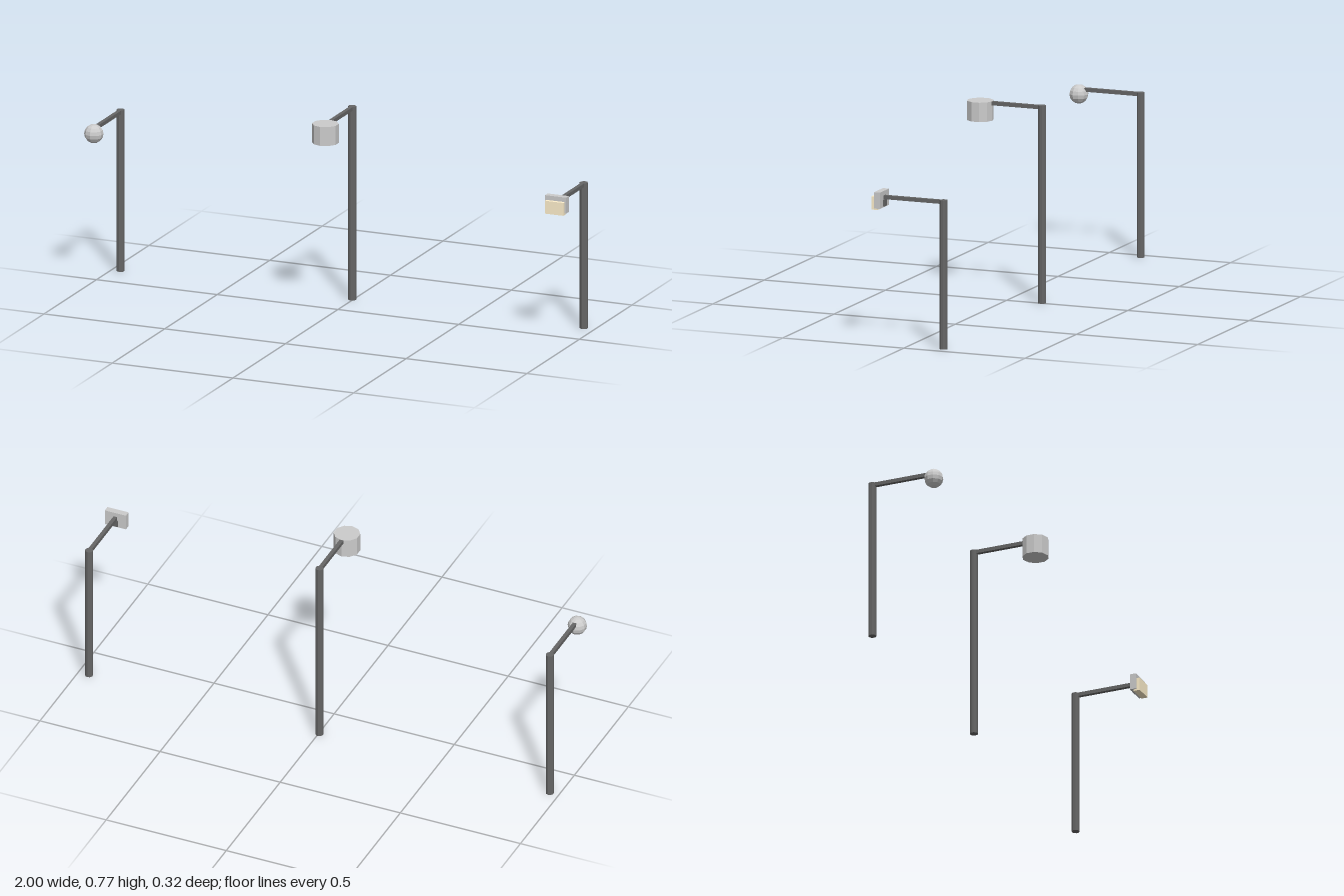
import * as THREE from 'three';

const grey = new THREE.MeshStandardMaterial({ color: 0xcccccc, flatShading: true });
const dark = new THREE.MeshStandardMaterial({ color: 0x666666, flatShading: true });
const cream = new THREE.MeshStandardMaterial({ color: 0xfff0cc, flatShading: true });

const POLE_Z = -0.145, HEAD_Z = 0.11;

function part(name, geometry, material, x, y, z) {
  const mesh = new THREE.Mesh(geometry, material);
  mesh.name = name;
  mesh.position.set(x, y, z);
  return mesh;
}

// Upright pole with a thin arm reaching forward, flush with the pole top
function lampPost(name, x, height, armEnd) {
  const post = new THREE.Group();
  post.name = name;
  post.position.x = x;
  const length = armEnd - POLE_Z;
  post.add(
    part('pole', new THREE.CylinderGeometry(0.0155, 0.0155, height, 10), dark, 0, height / 2, POLE_Z),
    part('arm', new THREE.BoxGeometry(0.015, 0.0145, length), dark, 0, height - 0.0073, POLE_Z + length / 2)
  );
  return post;
}

export function createModel() {
  const model = new THREE.Group();
  model.name = 'streetLamps';

  // Globe lamp
  const globe = lampPost('globeLamp', -0.963, 0.639, HEAD_Z);
  const ball = part('globe', new THREE.SphereGeometry(0.037, 10, 8), grey, 0, 0.613, HEAD_Z);
  ball.rotation.y = Math.PI / 2;
  globe.add(ball);

  // Drum lamp
  const drum = lampPost('drumLamp', -0.004, 0.766, HEAD_Z);
  drum.add(part('drumShade', new THREE.CylinderGeometry(0.051, 0.051, 0.075, 10), grey, 0, 0.7285, HEAD_Z));

  // Flood lamp: housing, glowing panel on the front, small bracket behind
  const flood = lampPost('floodLamp', 0.955, 0.577, HEAD_Z);
  flood.add(
    part('housing', new THREE.BoxGeometry(0.088, 0.063, 0.025), grey, 0, 0.5625, 0.1115),
    part('lightPanel', new THREE.BoxGeometry(0.076, 0.051, 0.026), cream, 0, 0.5505, 0.124),
    part('bracket', new THREE.BoxGeometry(0.024, 0.026, 0.01), dark, 0, 0.548, 0.099)
  );

  model.add(globe, drum, flood);
  return model;
}
